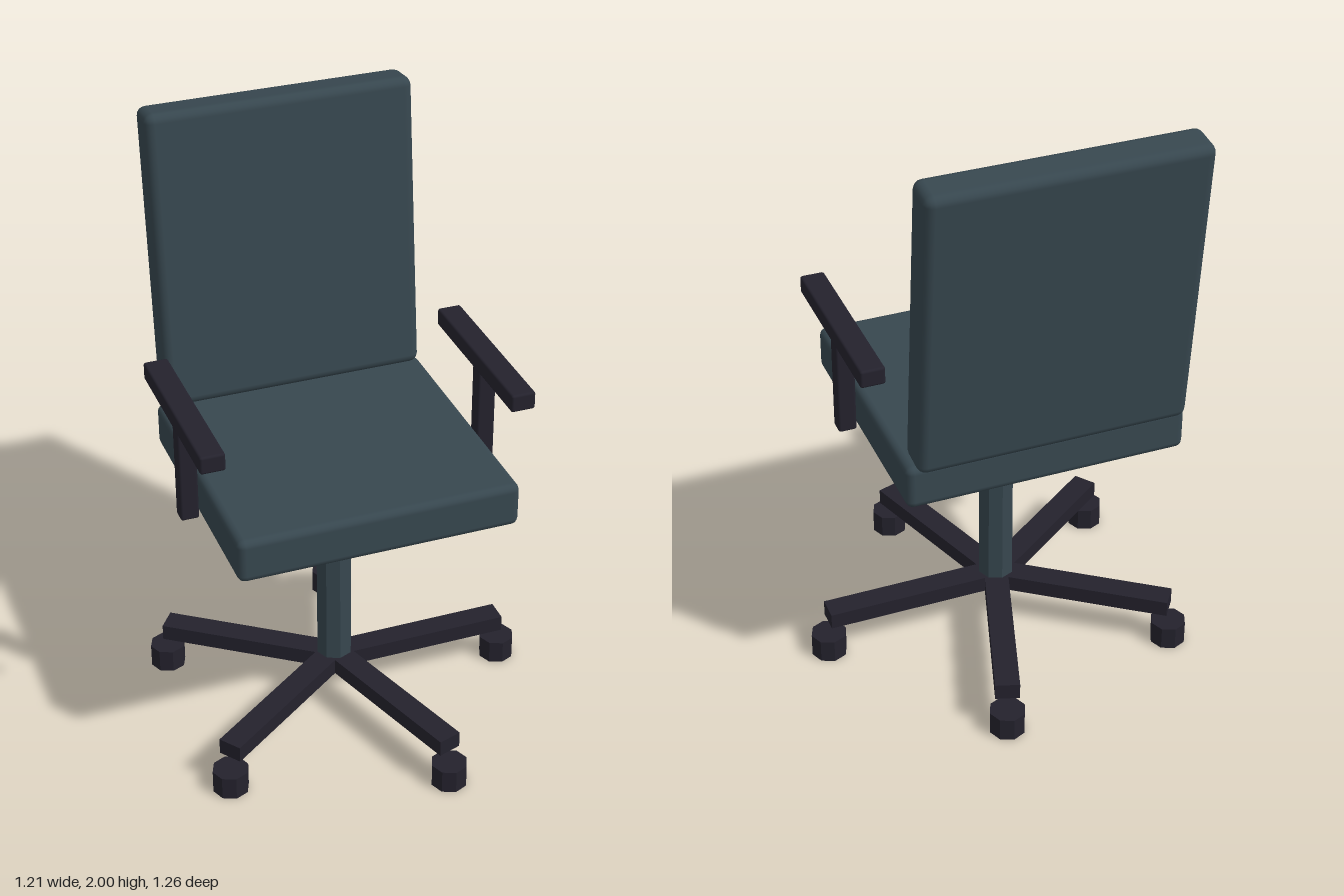
import * as THREE from 'three';
import { RoundedBoxGeometry } from 'three/addons/geometries/RoundedBoxGeometry.js';

export function createModel() {
  const chair = new THREE.Group();
  chair.name = 'officeChair';

  const upholstery = new THREE.MeshStandardMaterial({ color: 0x37474f });
  upholstery.name = 'slateUpholstery';
  const plastic = new THREE.MeshStandardMaterial({ color: 0x24222d });
  plastic.name = 'darkPlastic';

  const axisX = -0.06; // the column stands slightly off centre

  function add(name, geometry, material, x, y, z, parent = chair) {
    const mesh = new THREE.Mesh(geometry, material);
    mesh.name = name;
    mesh.position.set(x, y, z);
    parent.add(mesh);
    return mesh;
  }
  const cushion = (w, h, d, r) => new RoundedBoxGeometry(w, h, d, 2, r);
  const octagon = (r, h) => {
    const g = new THREE.CylinderGeometry(r, r, h, 8).toNonIndexed();
    g.computeVertexNormals(); // flat facets
    return g;
  };

  // Seat and leaning backrest
  add('seat', cushion(0.92, 0.15, 0.87, 0.025), upholstery, axisX, 0.925, 0);
  const back = add('backrest', cushion(0.88, 0.993, 0.13, 0.03), upholstery, axisX, 1.502, -0.468);
  back.rotation.x = -0.1;

  // Column
  add('column', octagon(0.06, 0.7), upholstery, axisX, 0.5, 0);

  // Armrests, mirrored about the column
  for (const side of [-1, 1]) {
    const armrest = new THREE.Group();
    armrest.name = side > 0 ? 'leftArmrest' : 'rightArmrest';
    armrest.position.set(axisX + side * 0.5, 0, 0.04);
    add('armPost', cushion(0.06, 0.36, 0.055, 0.008), plastic, 0, 1.045, 0, armrest);
    add('armPad', cushion(0.08, 0.06, 0.6, 0.008), plastic, 0, 1.235, 0, armrest);
    chair.add(armrest);
  }

  // Five-legged star base with a caster below each tip
  const reach = 0.6;
  const legGeometry = new THREE.BoxGeometry(reach, 0.055, 0.08).translate(reach / 2, 0, 0);
  const casterGeometry = octagon(0.06, 0.08);
  for (let i = 0; i < 5; i++) {
    const angle = (i * Math.PI * 2) / 5;
    const leg = add('baseLeg', legGeometry, plastic, axisX, 0.1525, 0);
    leg.rotation.y = -angle;
    add('caster', casterGeometry, plastic,
      axisX + reach * Math.cos(angle), 0.04, reach * Math.sin(angle));
  }

  return chair;
}
